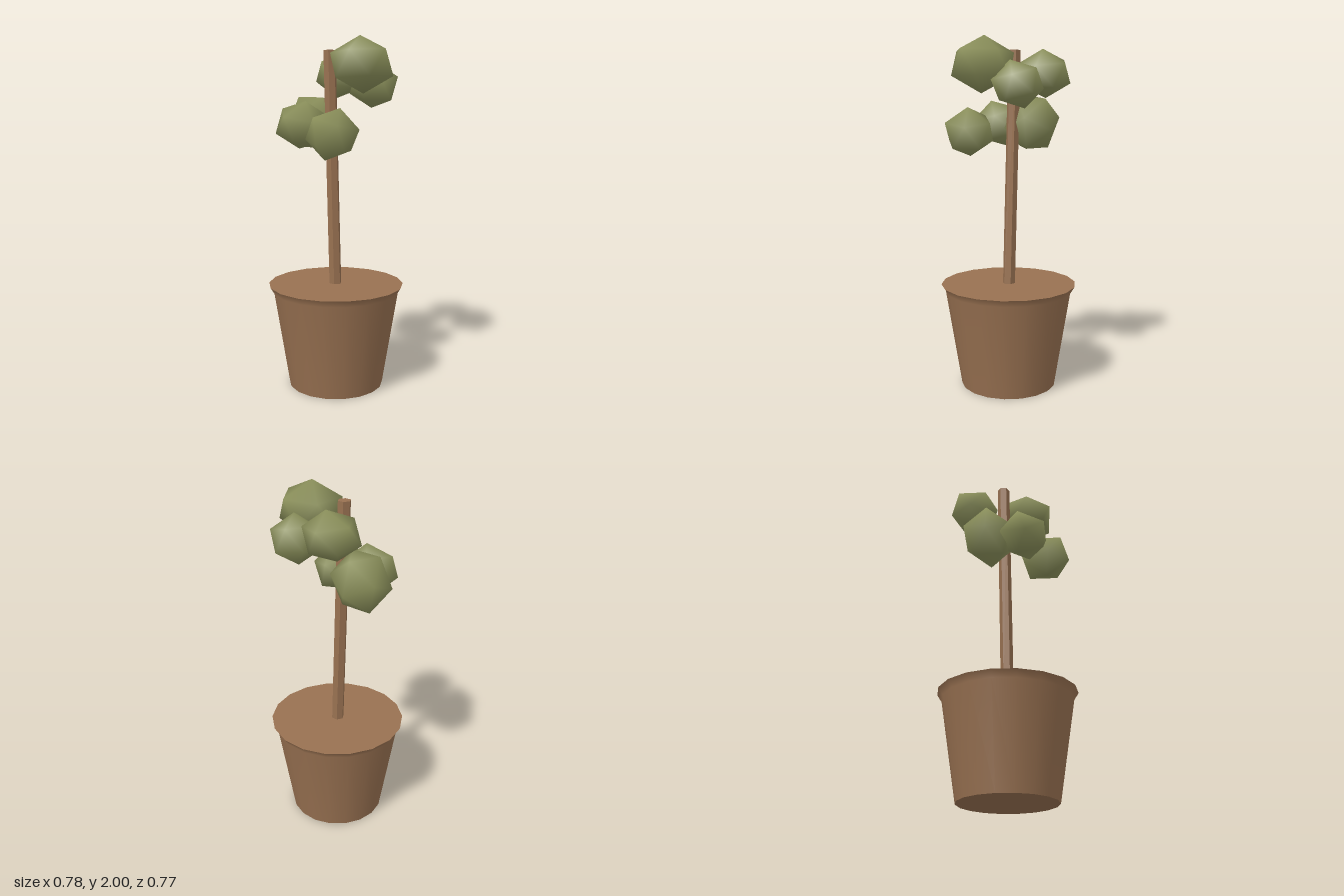
import * as THREE from 'three';
import { mergeVertices } from 'three/addons/utils/BufferGeometryUtils.js';

function material(name, color) {
  const m = new THREE.MeshStandardMaterial({ color });
  m.name = name;
  return m;
}

// Smooth-shaded icosahedron, turned by bearing, spin and tilt (degrees) and sized to fill a box
function clumpGeometry(min, max, bearing, spin, tilt) {
  let g = new THREE.IcosahedronGeometry(1, 0);
  g.deleteAttribute('uv');
  g.deleteAttribute('normal');
  g = mergeVertices(g);
  const rad = THREE.MathUtils.degToRad;
  const turn = new THREE.Euler(rad(spin), rad(-bearing), rad(tilt), 'YXZ');
  g.applyMatrix4(new THREE.Matrix4().makeRotationFromEuler(turn));
  g.computeBoundingBox();
  const size = g.boundingBox.getSize(new THREE.Vector3());
  g.scale(...['x', 'y', 'z'].map((axis, i) => (max[i] - min[i]) / size[axis]));
  g.translate(...min.map((v, i) => (v + max[i]) / 2));
  g.computeVertexNormals();
  return g;
}

export function createModel() {
  const model = new THREE.Group();
  model.name = 'pottedPlant';
  const brown = material('brown', 0x987151);
  const green = material('leafGreen', 0x8a8f5a);

  function add(parent, name, geometry, mat) {
    const mesh = new THREE.Mesh(geometry, mat);
    mesh.name = name;
    parent.add(mesh);
  }

  // Pot: tapered wall with a flared lip, soil on top and a flat base
  const pot = new THREE.Group();
  pot.name = 'pot';
  model.add(pot);
  const profile = [[0.275, 0], [0.365, 0.56], [0.39, 0.6]].map(([r, y]) => new THREE.Vector2(r, y));
  add(pot, 'potWall', new THREE.LatheGeometry(profile, 18, Math.PI / 2), brown);
  add(pot, 'soil', new THREE.CircleGeometry(0.39, 18).rotateX(-Math.PI / 2).translate(0, 0.6, 0), brown);
  add(pot, 'potBase', new THREE.CircleGeometry(0.275, 18).rotateX(Math.PI / 2), brown);

  // Six-sided stem, sheared so its top leans towards -x
  const stem = new THREE.CylinderGeometry(0.036, 0.036, 1.35, 6, 1, false, Math.PI / 2)
    .translate(0, 1.255, 0).toNonIndexed();
  const p = stem.attributes.position;
  for (let i = 0; i < p.count; i++) {
    p.setX(i, p.getX(i) - 0.004 - 0.0325 * (p.getY(i) - 0.6));
  }
  stem.computeVertexNormals();
  add(model, 'stem', stem, brown);

  // Leaf clumps around the stem: lowest corner, highest corner, bearing from +x towards +z, spin, tilt
  const clumps = [
    [[0.03, 1.69, -0.155], [0.35, 2.0, 0.168], 0, 0, -28],
    [[0, 1.61, -0.325], [0.24, 1.865, -0.05], -57, -42, 0],
    [[-0.248, 1.665, -0.312], [0.035, 1.93, -0.033], -117, -48, 0],
    [[-0.325, 1.38, -0.17], [-0.028, 1.67, 0.135], 180, -18, 0],
    [[-0.243, 1.385, 0.03], [0.05, 1.65, 0.313], 117, 40, 0],
    [[0.02, 1.335, 0.03], [0.25, 1.615, 0.335], 57, 42, 0],
  ];
  const foliage = new THREE.Group();
  foliage.name = 'foliage';
  model.add(foliage);
  for (const clump of clumps) add(foliage, 'leafClump', clumpGeometry(...clump), green);
  return model;
}
